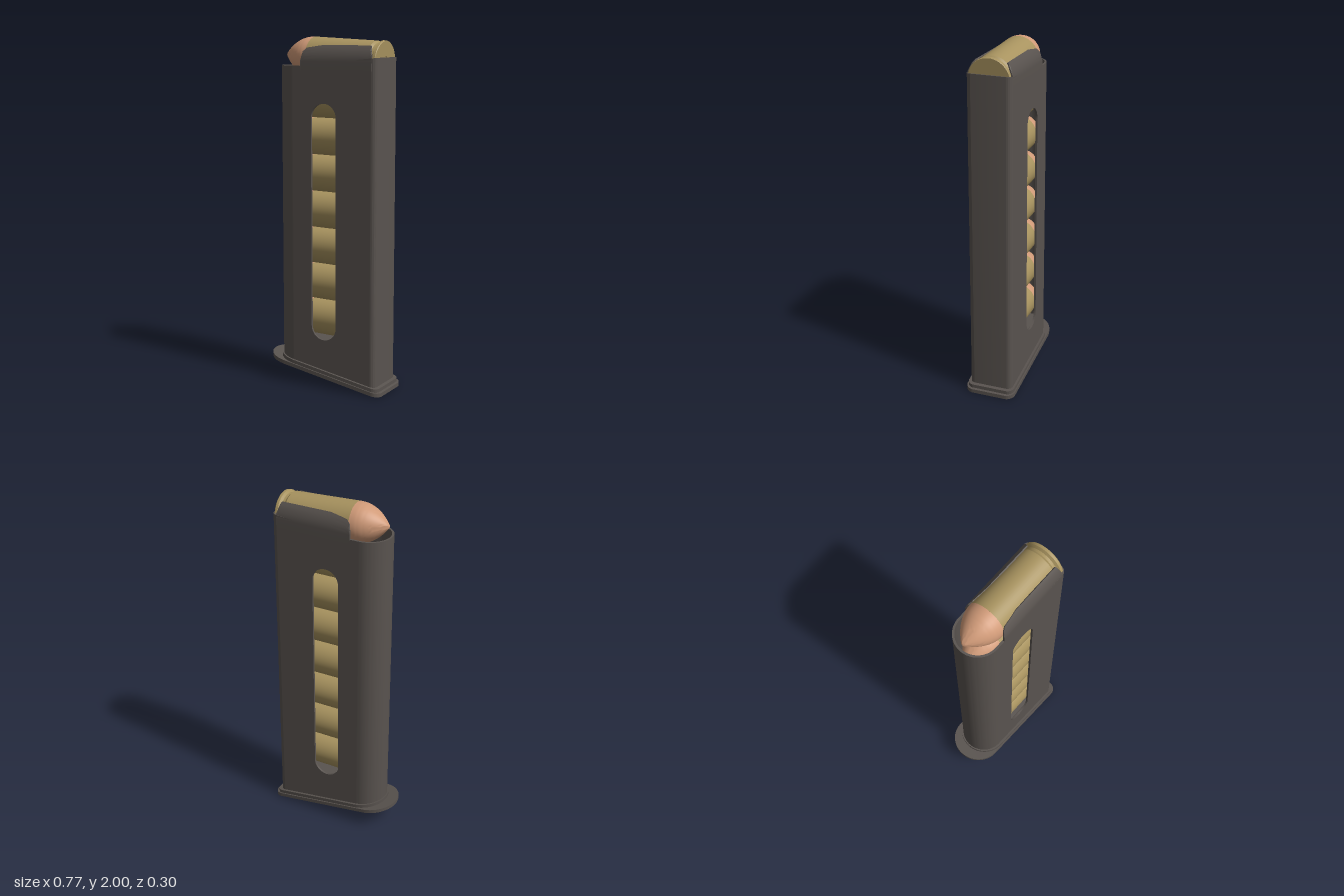
import * as THREE from 'three';
import { toCreasedNormals } from 'three/addons/utils/BufferGeometryUtils.js';

const steel = new THREE.MeshStandardMaterial({ color: 0x59534f });
steel.name = 'darkSteel';
const brass = new THREE.MeshStandardMaterial({ color: 0xa8935f });
brass.name = 'brass';
const copper = new THREE.MeshStandardMaterial({ color: 0xd09a78 });
copper.name = 'copper';

const HALF = 0.128, WALL = 0.012, FRONT_X = -0.182, BACK_X = 0.318;
const baseY = (x) => 0.0625 - 0.162 * x;            // slanted floor
const bottomY = (x) => baseY(x) + 0.03;
const topY = (x) => 1.84 + Math.max(0, (x + 0.13) / 0.48) * 0.05;

function part(name, geometry, material) {
  const mesh = new THREE.Mesh(toCreasedNormals(geometry, 0.5), material);
  mesh.name = name;
  return mesh;
}

// Extrudes a plan shape upward, then maps its height between two slanted limits
function upright(shape, low, high) {
  const geo = new THREE.ExtrudeGeometry(shape, { depth: 1, bevelEnabled: false, curveSegments: 24 });
  geo.rotateX(-Math.PI / 2);
  const p = geo.attributes.position;
  for (let i = 0; i < p.count; i++) {
    const x = p.getX(i);
    p.setY(i, THREE.MathUtils.lerp(low(x), high(x), p.getY(i)));
  }
  return geo;
}

// Plan outline: round at the -x end, small corners at the +x end
function footprint(x0, x1, half, corner) {
  const s = new THREE.Shape();
  s.absarc(x0 + half, 0, half, Math.PI / 2, Math.PI * 1.5, false);
  s.absarc(x1 - corner, -half + corner, corner, -Math.PI / 2, 0, false);
  s.absarc(x1 - corner, half - corner, corner, 0, Math.PI / 2, false);
  s.closePath();
  return s;
}

// Flat side with a long rounded window
function sideWall(z) {
  const s = new THREE.Shape();
  s.moveTo(FRONT_X, bottomY(FRONT_X));
  s.lineTo(BACK_X, bottomY(BACK_X));
  s.lineTo(BACK_X, topY(BACK_X));
  s.lineTo(-0.13, 1.84);
  s.lineTo(FRONT_X, 1.84);
  s.closePath();
  const slot = new THREE.Path();
  slot.absarc(0.02, 1.555, 0.08, 0, Math.PI, false);
  slot.absarc(0.02, 0.36, 0.08, Math.PI, Math.PI * 2, false);
  slot.closePath();
  s.holes.push(slot);
  const geo = new THREE.ExtrudeGeometry(s, { depth: WALL, bevelEnabled: false, curveSegments: 24 });
  return geo.translate(0, 0, z);
}

function frontWall() {
  const s = new THREE.Shape();
  s.absarc(FRONT_X, 0, HALF, Math.PI / 2, Math.PI * 1.5, false);
  s.absarc(FRONT_X, 0, HALF - WALL, Math.PI * 1.5, Math.PI / 2, true);
  s.closePath();
  return upright(s, bottomY, topY);
}

function backWall() {
  const s = new THREE.Shape(), r = 0.032, c = HALF - r, q = Math.PI / 2;
  s.absarc(BACK_X, c, r, q, 0, true);
  s.absarc(BACK_X, -c, r, 0, -q, true);
  s.absarc(BACK_X, -c, r - WALL, -q, 0, false);
  s.absarc(BACK_X, c, r - WALL, 0, q, false);
  s.closePath();
  return upright(s, bottomY, topY);
}

// Feed lip: a thin strip curling over the top round; side is +1 or -1 in z
function feedLip(side) {
  const stations = [[-0.13, 1.87], [-0.12, 1.92], [-0.1, 1.94], [0, 1.955], [0.3, 1.955], [0.306, 1.945], [0.32, 1.895]];
  const n = 12, ring = 2 * n, cy = 1.865, outer = HALF + 0.0005, inner = outer - 0.008;
  const pos = [], idx = [];
  const tri = (a, b, c) => (side > 0 ? idx.push(a, b, c) : idx.push(a, c, b));
  const quad = (a, b, c, d) => { tri(a, b, c); tri(a, c, d); };
  for (const [x, high] of stations) {
    const max = Math.asin((high - cy) / outer);
    for (let j = 0; j < ring; j++) {
      const k = j < n ? j : ring - 1 - j;
      const r = j < n ? outer : inner;
      const a = k === 0 ? 0 : (max * (k - 1)) / (n - 2);
      pos.push(x, k === 0 ? 1.8 : cy + r * Math.sin(a), side * r * Math.cos(a));
    }
  }
  for (let i = 0; i < stations.length - 1; i++) {
    for (let j = 0; j < ring; j++) {
      const a = i * ring, b = a + ring, j2 = (j + 1) % ring;
      quad(a + j, b + j, b + j2, a + j2);
    }
  }
  const last = (stations.length - 1) * ring;
  for (let k = 0; k < n - 1; k++) {
    const m = ring - 1 - k;
    quad(k, k + 1, m - 1, m);
    quad(last + m, last + m - 1, last + k + 1, last + k);
  }
  const geo = new THREE.BufferGeometry();
  geo.setAttribute('position', new THREE.Float32BufferAttribute(pos, 3));
  geo.setIndex(idx);
  return geo;
}

// Solid of revolution about the x axis from [radius, x] pairs
function turned(pairs) {
  const geo = new THREE.LatheGeometry(pairs.map(([r, x]) => new THREE.Vector2(r, x)), 48);
  return geo.rotateZ(-Math.PI / 2);
}

function round(name) {
  const g = new THREE.Group();
  g.name = name;
  const nose = new THREE.SplineCurve([[0, -0.297], [0.012, -0.291], [0.04, -0.265], [0.07, -0.23], [0.094, -0.19],
    [0.108, -0.15], [0.112, -0.11]].map(([r, x]) => new THREE.Vector2(r, x)));
  g.add(part('bullet', turned(nose.getPoints(24).map((v) => [Math.max(0, v.x), v.y])), copper));
  g.add(part('casing', turned([[0.1, -0.112], [0.112, -0.112], [0.116, 0.28], [0.106, 0.293], [0.106, 0.308],
    [0.12, 0.318], [0.12, 0.332], [0.117, 0.336], [0.036, 0.336], [0.036, 0.332], [0, 0.332]]), brass));
  return g;
}

export function createModel() {
  const model = new THREE.Group();
  model.name = 'magazine';

  // Hollow body
  const body = new THREE.Group();
  body.name = 'body';
  body.add(part('leftSideWall', sideWall(HALF - WALL), steel));
  body.add(part('rightSideWall', sideWall(-HALF), steel));
  body.add(part('roundedWall', frontWall(), steel));
  body.add(part('flatWall', backWall(), steel));
  body.add(part('leftFeedLip', feedLip(1), steel));
  body.add(part('rightFeedLip', feedLip(-1), steel));
  model.add(body);

  // Slanted floor plate with a stepped flange
  model.add(part('floorPlate', upright(footprint(-0.385, 0.385, 0.148, 0.05), baseY, (x) => baseY(x) + 0.022), steel));
  model.add(part('floorFlange',
    upright(footprint(-0.318, 0.37, 0.141, 0.04), (x) => baseY(x) + 0.02, (x) => baseY(x) + 0.042), steel));

  // Follower under the stack
  const follower = part('follower', new THREE.BoxGeometry(0.48, 0.09, 0.22), steel);
  follower.position.set(0.07, 0.23, 0);
  model.add(follower);

  // Stacked rounds, then the tilted top one
  for (let i = 0; i < 7; i++) {
    const r = round('stackedRound' + (i + 1));
    r.scale.set(1, 0.94, 0.94);
    r.position.y = 0.386 + i * 0.211;
    model.add(r);
  }
  const top = round('topRound');
  top.position.y = 1.881;
  top.rotation.z = -0.06;
  model.add(top);
  return model;
}
